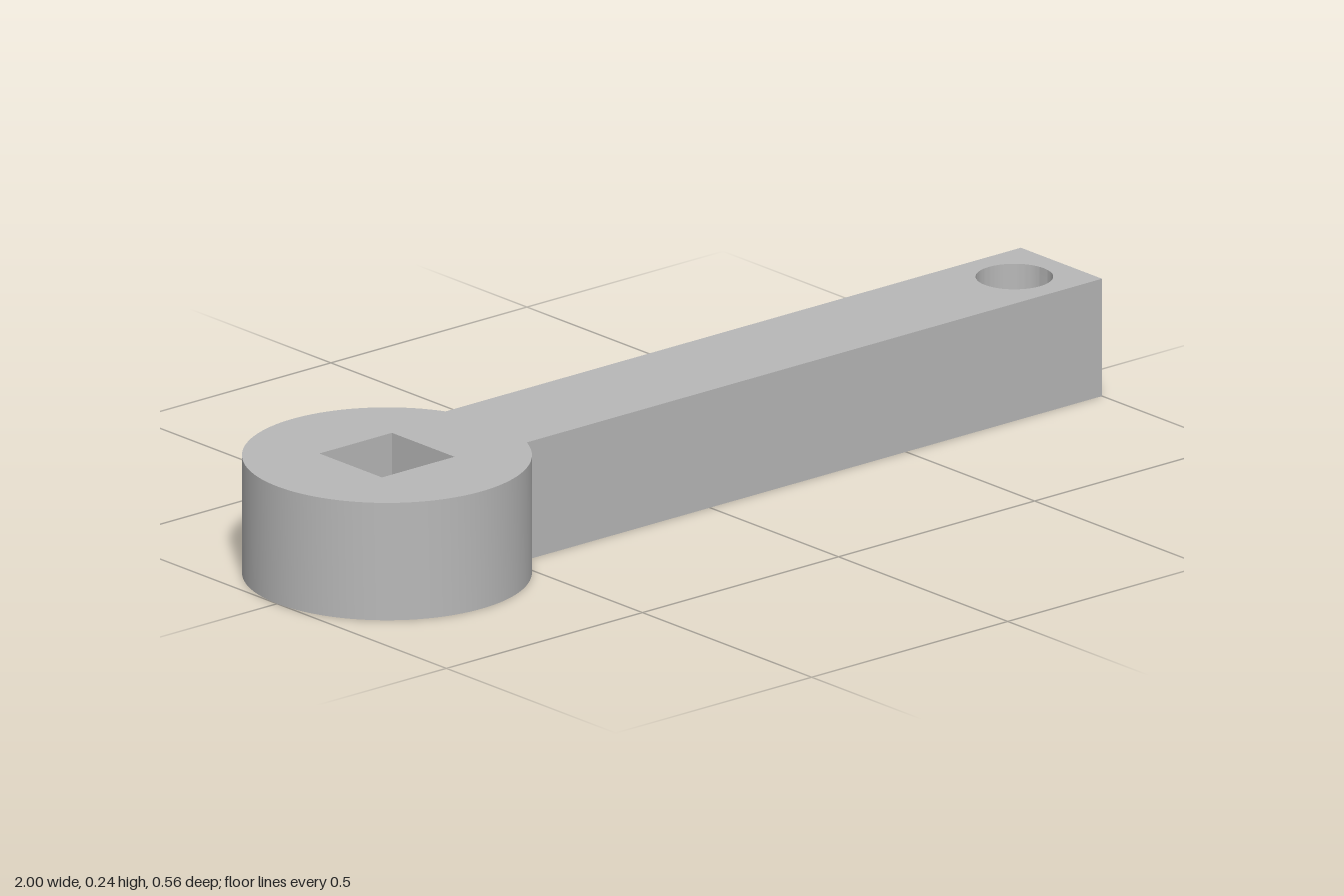
import * as THREE from 'three';
import { toCreasedNormals } from 'three/addons/utils/BufferGeometryUtils.js';

export function createModel() {
  const group = new THREE.Group();
  group.name = 'wrenchHandle';

  const headX = -0.72, headRadius = 0.28, halfWidth = 0.12, height = 0.24;
  const joint = Math.asin(halfWidth / headRadius);

  // Outline: straight bar running into a round head
  const outline = new THREE.Shape();
  outline.moveTo(1, -halfWidth);
  outline.lineTo(1, halfWidth);
  outline.lineTo(headX + headRadius * Math.cos(joint), halfWidth);
  outline.absarc(headX, 0, headRadius, joint, 2 * Math.PI - joint, false);
  outline.closePath();

  // Square socket through the head
  const s = 0.0925;
  const socket = new THREE.Path();
  socket.moveTo(headX - s, -s);
  socket.lineTo(headX - s, s);
  socket.lineTo(headX + s, s);
  socket.lineTo(headX + s, -s);
  socket.closePath();

  // Round hole near the end of the bar
  const hole = new THREE.Path();
  hole.absarc(0.88, 0, 0.075, 0, 2 * Math.PI, true);
  outline.holes.push(socket, hole);

  const extruded = new THREE.ExtrudeGeometry(outline, { depth: height, bevelEnabled: false, curveSegments: 48 });
  extruded.rotateX(-Math.PI / 2);

  const greyMetal = new THREE.MeshStandardMaterial({ color: 0xb8b8b8 });
  greyMetal.name = 'greyMetal';
  const body = new THREE.Mesh(toCreasedNormals(extruded, Math.PI / 6), greyMetal);
  body.name = 'leverBody';
  group.add(body);
  return group;
}
